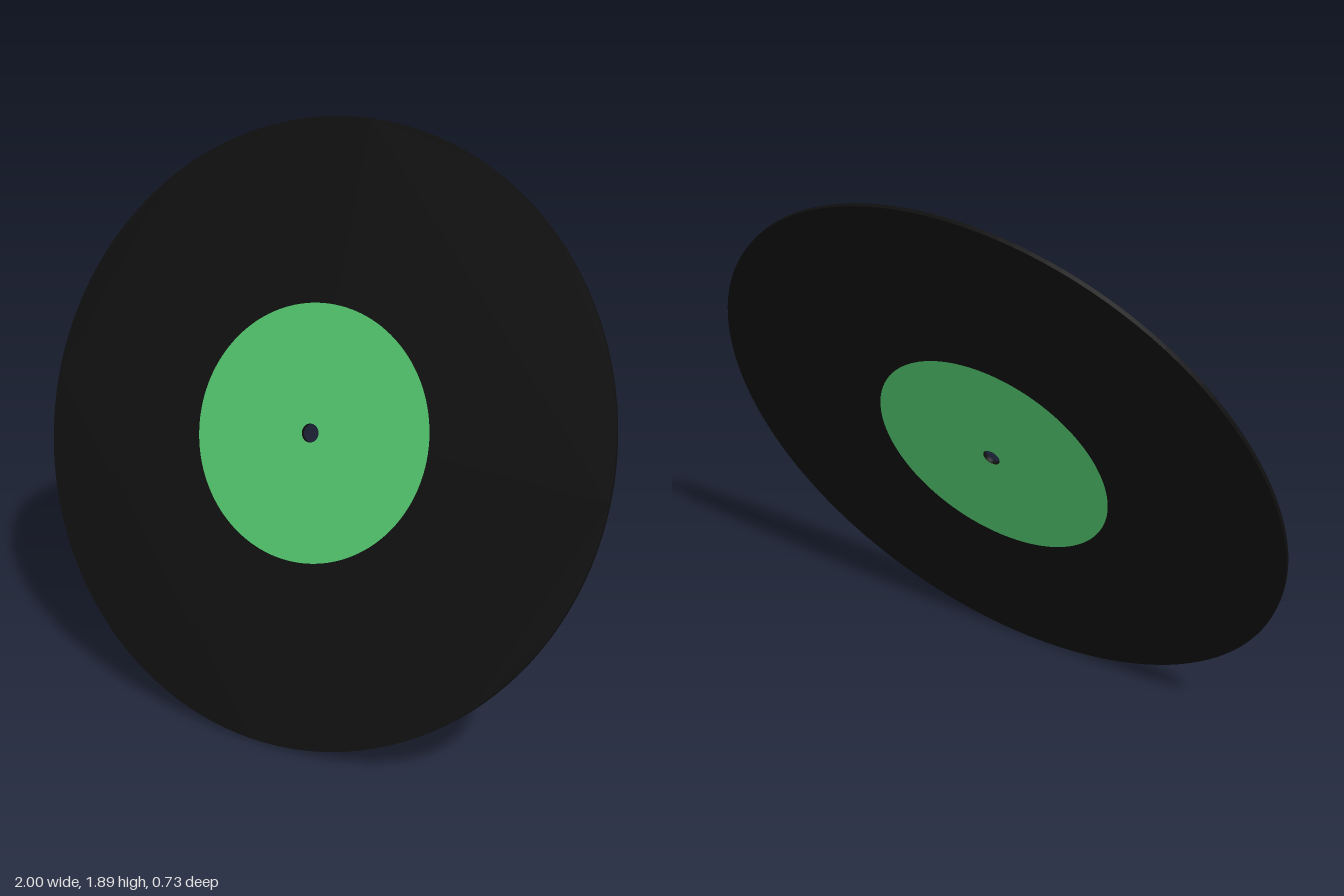
import * as THREE from 'three';

const RADIUS = 1.003, LABEL_RADIUS = 0.413, HOLE_RADIUS = 0.03, THICKNESS = 0.014;

export function createModel() {
  const vinyl = new THREE.MeshStandardMaterial({ color: 0x0f0f0f });
  vinyl.name = 'black vinyl';
  const paper = new THREE.MeshStandardMaterial({ color: 0x52c46c });
  paper.name = 'green label';

  // Thin disc with a spindle hole, built facing +z
  const outline = new THREE.Shape().absarc(0, 0, RADIUS, 0, Math.PI * 2);
  outline.holes.push(new THREE.Path().absarc(0, 0, HOLE_RADIUS, 0, Math.PI * 2, true));
  const discGeometry = new THREE.ExtrudeGeometry(outline, {
    depth: THICKNESS, bevelEnabled: false, curveSegments: 64,
  });
  discGeometry.translate(0, 0, -THICKNESS / 2);
  const disc = new THREE.Mesh(discGeometry, vinyl);
  disc.name = 'disc';

  const record = new THREE.Group();
  record.name = 'record';
  record.add(disc);

  // Round label on each face
  for (const side of [1, -1]) {
    const label = new THREE.Mesh(new THREE.RingGeometry(HOLE_RADIUS, LABEL_RADIUS, 128), paper);
    label.name = side > 0 ? 'frontLabel' : 'backLabel';
    label.position.z = side * (THICKNESS / 2 + 0.001);
    if (side < 0) label.rotation.y = Math.PI;
    record.add(label);
  }

  // Lean back and turn slightly to the left
  const facing = new THREE.Vector3(0.09, 0.345, 0.934).normalize();
  record.quaternion.setFromUnitVectors(new THREE.Vector3(0, 0, 1), facing);
  record.position.y = RADIUS * Math.sqrt(1 - facing.y ** 2) + facing.y * THICKNESS / 2;

  const model = new THREE.Group();
  model.name = 'vinylRecord';
  model.add(record);
  return model;
}
